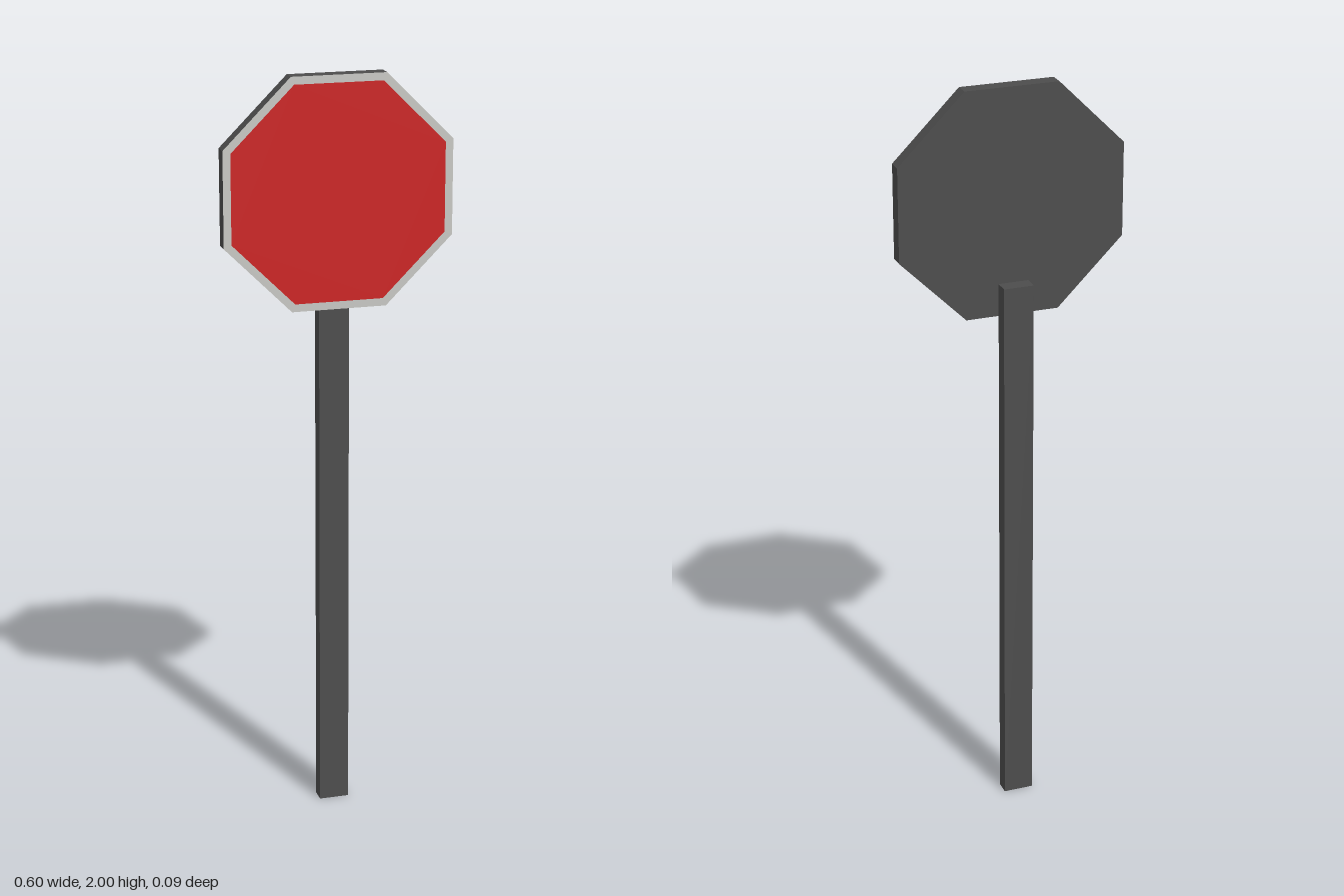
import * as THREE from 'three';

const SIGN_Y = 1.7, BACK_Z = 0.003, FRONT_Z = 0.043;

// Corners of a flat-topped octagon with the given distance from centre to side
function octagon(apothem) {
  const radius = apothem / Math.cos(Math.PI / 8);
  return Array.from({ length: 8 }, (_, i) => {
    const a = Math.PI / 8 + i * Math.PI / 4;
    return new THREE.Vector2(radius * Math.cos(a), radius * Math.sin(a));
  });
}

export function createModel() {
  const metal = new THREE.MeshStandardMaterial({ color: 0x4d4d4d });
  metal.name = 'dark grey metal';
  const red = new THREE.MeshStandardMaterial({ color: 0xcc2222 });
  red.name = 'sign red';
  const white = new THREE.MeshStandardMaterial({ color: 0xc8c8c4 });
  white.name = 'border off-white';

  const model = new THREE.Group();
  model.name = 'roadSign';
  const add = (name, geometry, material, parent) => {
    const mesh = new THREE.Mesh(geometry, material);
    mesh.name = name;
    parent.add(mesh);
    return mesh;
  };

  // Rectangular post standing just behind the plate
  add('post', new THREE.BoxGeometry(0.08, 1.49, 0.04), metal, model)
    .position.set(0, 0.745, -0.025);

  const sign = new THREE.Group();
  sign.name = 'signPlate';
  sign.position.y = SIGN_Y;
  model.add(sign);

  // Plate edge: eight flat sides, open at both ends
  const radius = 0.3 / Math.cos(Math.PI / 8);
  const edge = new THREE.CylinderGeometry(radius, radius, FRONT_Z - BACK_Z, 8, 1, true, Math.PI / 8)
    .rotateX(Math.PI / 2).toNonIndexed();
  edge.computeVertexNormals();
  add('plateEdge', edge, metal, sign).position.z = (FRONT_Z + BACK_Z) / 2;

  // Plate back, turned to face -z
  const back = new THREE.ShapeGeometry(new THREE.Shape(octagon(0.3))).rotateY(Math.PI);
  add('plateBack', back, metal, sign).position.z = BACK_Z;

  // Front: pale border ring around the red face
  const ring = new THREE.Shape(octagon(0.3));
  ring.holes.push(new THREE.Path(octagon(0.28)));
  add('frontBorder', new THREE.ShapeGeometry(ring), white, sign).position.z = FRONT_Z;
  add('frontFace', new THREE.ShapeGeometry(new THREE.Shape(octagon(0.28))), red, sign).position.z = FRONT_Z;

  return model;
}
